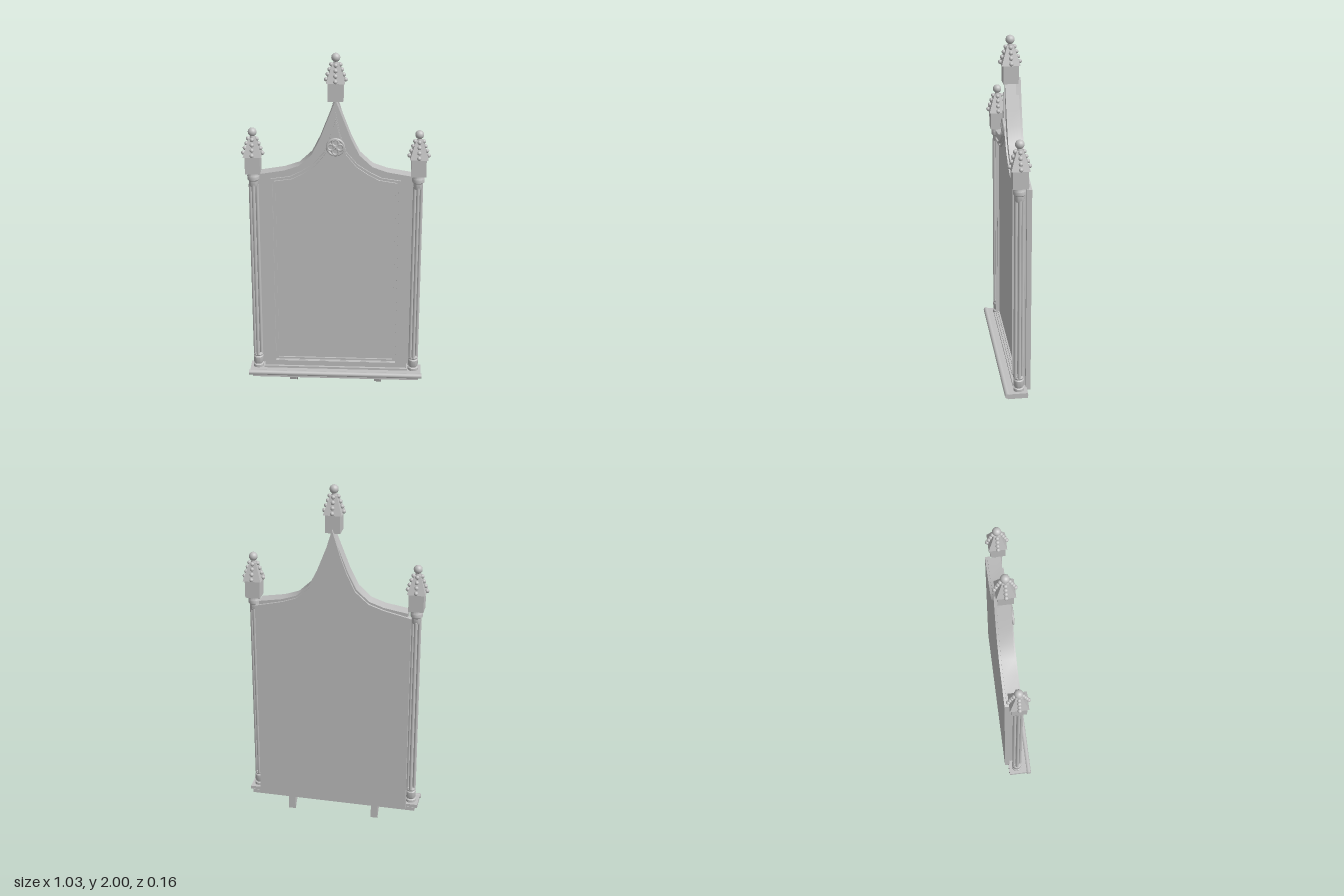
import * as THREE from 'three';
import { toCreasedNormals } from 'three/addons/utils/BufferGeometryUtils.js';

const stone = new THREE.MeshStandardMaterial({ color: 0xc0c0c0 });
stone.name = 'grey';

function add(parent, name, geometry, x = 0, y = 0, z = 0) {
  const mesh = new THREE.Mesh(geometry, stone);
  mesh.name = name;
  mesh.position.set(x, y, z);
  parent.add(mesh);
  return mesh;
}

const box = (w, h, d) => new THREE.BoxGeometry(w, h, d);

// Symmetric ogee outline: curve runs from the right shoulder to the peak.
function outline(curve, bottom) {
  const right = curve.map(([x, y]) => new THREE.Vector2(x, y));
  const left = curve.slice(0, -1).reverse().map(([x, y]) => new THREE.Vector2(-x, y));
  const w = curve[0][0];
  return [new THREE.Vector2(-w, bottom), new THREE.Vector2(w, bottom), ...right, ...left];
}

// Plate between two depths, optionally with an opening.
function plate(points, z0, z1, hole) {
  const shape = new THREE.Shape(points);
  if (hole) shape.holes.push(new THREE.Path(hole.slice().reverse()));
  const g = new THREE.ExtrudeGeometry(shape, { depth: z1 - z0, bevelEnabled: false });
  g.translate(0, 0, z0);
  return toCreasedNormals(g, 0.6);
}

const boardCurve = [[0.41, 1.325], [0.28, 1.347], [0.2, 1.375], [0.13, 1.44], [0.085, 1.53], [0.05, 1.62], [0, 1.75]];
const backCurve = [[0.43, 1.3], [0.28, 1.335], [0.2, 1.363], [0.125, 1.43], [0.078, 1.53], [0.045, 1.62], [0, 1.77]];
const openCurve = [[0.355, 1.3], [0.25, 1.315], [0.19, 1.345], [0.12, 1.39], [0.06, 1.46], [0.025, 1.56], [0, 1.69]];

// Opening outline moved inwards by d.
const opening = (d) => outline(
  openCurve.map(([x, y]) => [x * (1 - d / 0.355), y - d * (x === 0 ? 2.5 : 1)]), 0.16 + d);

function makeFinial() {
  const g = new THREE.Group();
  g.name = 'finial';
  add(g, 'finialBlock', box(0.082, 0.1, 0.082), 0, 0.05);
  // Square spire
  const spire = new THREE.CylinderGeometry(0.018 * Math.SQRT2, 0.05 * Math.SQRT2, 0.1, 4);
  spire.rotateY(Math.PI / 4);
  add(g, 'spire', toCreasedNormals(spire, 0.3), 0, 0.15);
  add(g, 'spireNeck', new THREE.CylinderGeometry(0.009, 0.014, 0.02, 12), 0, 0.208);
  add(g, 'spireBall', new THREE.SphereGeometry(0.024, 16, 12), 0, 0.231);
  // Beads climbing each face of the spire
  for (let side = 0; side < 4; side++) {
    const a = side * Math.PI / 2;
    for (let i = 0; i < 4; i++) {
      const r = 0.052 - i * 0.0095;
      add(g, 'spireBead', new THREE.SphereGeometry(0.0115, 10, 8),
        Math.cos(a) * r, 0.112 + i * 0.027, Math.sin(a) * r);
    }
  }
  return g;
}

function makeColumn() {
  const g = new THREE.Group();
  g.name = 'column';
  const turned = (pts) => toCreasedNormals(
    new THREE.LatheGeometry(pts.map(([r, y]) => new THREE.Vector2(r, y)), 20), 0.6);
  add(g, 'columnBase', turned([[0, 0.118], [0.03, 0.118], [0.03, 0.135], [0.023, 0.14], [0.028, 0.15],
    [0.029, 0.185], [0.024, 0.192], [0.027, 0.2], [0.022, 0.21], [0, 0.21]]));
  add(g, 'columnCapital', turned([[0, 1.25], [0.023, 1.25], [0.026, 1.26], [0.026, 1.283], [0.033, 1.29],
    [0.034, 1.31], [0.03, 1.317], [0.03, 1.335], [0, 1.335]]));
  // Cluster of slender shafts
  for (let i = 0; i < 4; i++) {
    const a = i * Math.PI / 2;
    add(g, 'columnShaft', new THREE.CylinderGeometry(0.0095, 0.0095, 1.06, 12),
      Math.cos(a) * 0.018, 0.73, Math.sin(a) * 0.018);
  }
  const finial = makeFinial();
  finial.position.y = 1.33;
  g.add(finial);
  return g;
}

function makeRosette() {
  const g = new THREE.Group();
  g.name = 'rosette';
  add(g, 'rosetteRim', new THREE.TorusGeometry(0.045, 0.007, 8, 32));
  for (let i = 0; i < 4; i++) {
    const a = i * Math.PI / 2;
    add(g, 'rosetteLobe', new THREE.TorusGeometry(0.017, 0.006, 8, 20),
      Math.cos(a) * 0.025, Math.sin(a) * 0.025, 0.002);
  }
  add(g, 'rosetteCentre', new THREE.SphereGeometry(0.01, 12, 8));
  return g;
}

export function createModel() {
  const model = new THREE.Group();
  model.name = 'gothicMirror';

  // Arched frame, backing and recessed glass
  add(model, 'backPanel', plate(outline(backCurve, 0.1), -0.072, -0.045));
  add(model, 'frameBoard', plate(outline(boardCurve, 0.12), -0.06, 0.012, opening(0.01)));
  add(model, 'mirrorPanel', plate(opening(0.005), -0.04, 0.002));

  // Stepped moulding around the glass
  add(model, 'outerMoulding', plate(opening(0), 0.002, 0.021, opening(0.009)));
  add(model, 'innerMoulding', plate(opening(0.018), 0.002, 0.011, opening(0.026)));
  add(model, 'bottomMoulding', box(0.83, 0.012, 0.06), 0, 0.127, -0.005);

  const rosette = makeRosette();
  rosette.position.set(0, 1.49, 0.022);
  model.add(rosette);

  const peak = makeFinial();
  peak.name = 'peakFinial';
  peak.position.set(0, 1.745, -0.015);
  model.add(peak);

  for (const side of [1, -1]) {
    const column = makeColumn();
    column.position.set(side * 0.45, 0, -0.003);
    model.add(column);
  }

  // Shelf with a rounded front lip
  add(model, 'shelf', box(0.96, 0.022, 0.112), 0, 0.091, 0.004);
  add(model, 'shelfTop', box(0.99, 0.02, 0.115), 0, 0.11, 0.008);
  const lip = new THREE.CylinderGeometry(0.0145, 0.0145, 1.0, 16);
  lip.rotateZ(Math.PI / 2);
  add(model, 'shelfLip', lip, 0, 0.111, 0.065);

  // Curved brackets under the shelf
  const profile = [[-0.055, 0.082], [-0.048, 0.06], [-0.02, 0.053], [0.005, 0.045], [0.028, 0.022], [0.05, 0], [0.05, 0.082]];
  for (const side of [1, -1]) {
    const g = plate(profile.map(([x, y]) => new THREE.Vector2(x, y)), -0.02, 0.02);
    g.rotateY(Math.PI / 2);
    add(model, 'bracket', g, side * 0.245, 0, 0);
  }
  return model;
}
